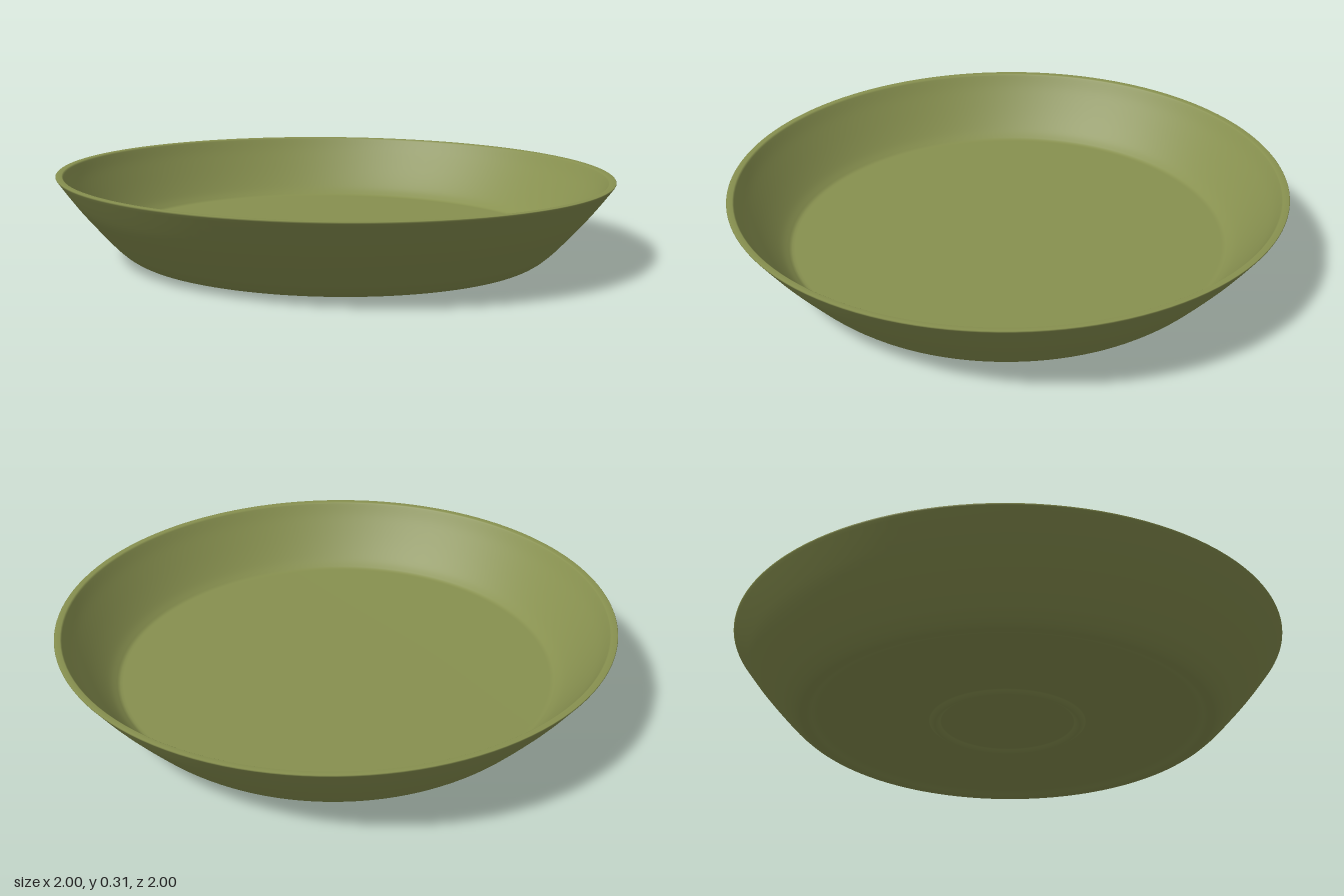
import * as THREE from 'three';

// Smooth run of profile points [radius, height]
const curve = (pts, n) =>
  new THREE.SplineCurve(pts.map(([r, y]) => new THREE.Vector2(r, y))).getPoints(n);
const line = (...pts) => pts.map(([r, y]) => new THREE.Vector2(r, y));

export function createModel() {
  const group = new THREE.Group();
  group.name = 'dish';
  const olive = new THREE.MeshStandardMaterial({ color: 0x87904f });
  olive.name = 'olive glaze';

  const profile = [
    // recessed underside with a small raised ring
    ...line([0, 0.016], [0.235, 0.016]),
    ...curve([[0.24, 0.016], [0.25, 0.008], [0.262, 0.003], [0.274, 0.008], [0.284, 0.016]], 12),
    ...line([0.289, 0.016], [0.675, 0.016]),
    // rounded foot
    ...curve([[0.68, 0.016], [0.695, 0.011], [0.712, 0.003], [0.728, 0], [0.75, 0.004], [0.775, 0.02]], 14),
    // outer wall
    ...curve([[0.775, 0.02], [0.81, 0.052], [0.867, 0.115], [0.92, 0.177], [0.96, 0.229], [0.998, 0.281]], 20).slice(1),
    // narrow rim
    ...line([1, 0.285], [0.998, 0.287], [0.979, 0.287], [0.975, 0.284]),
    // inner wall down to the floor
    ...curve([[0.973, 0.281], [0.945, 0.235], [0.9, 0.173], [0.86, 0.123], [0.825, 0.085], [0.797, 0.063]], 20),
    ...line([0.79, 0.0605], [0.78, 0.06], [0, 0.06]),
  ];

  const plate = new THREE.Mesh(new THREE.LatheGeometry(profile, 128), olive);
  plate.name = 'plate';
  // the dish leans very slightly
  plate.rotation.set(0.0045, 0, -0.0128);
  plate.position.set(-0.0035, 0.01, -0.001);
  group.add(plate);
  return group;
}
